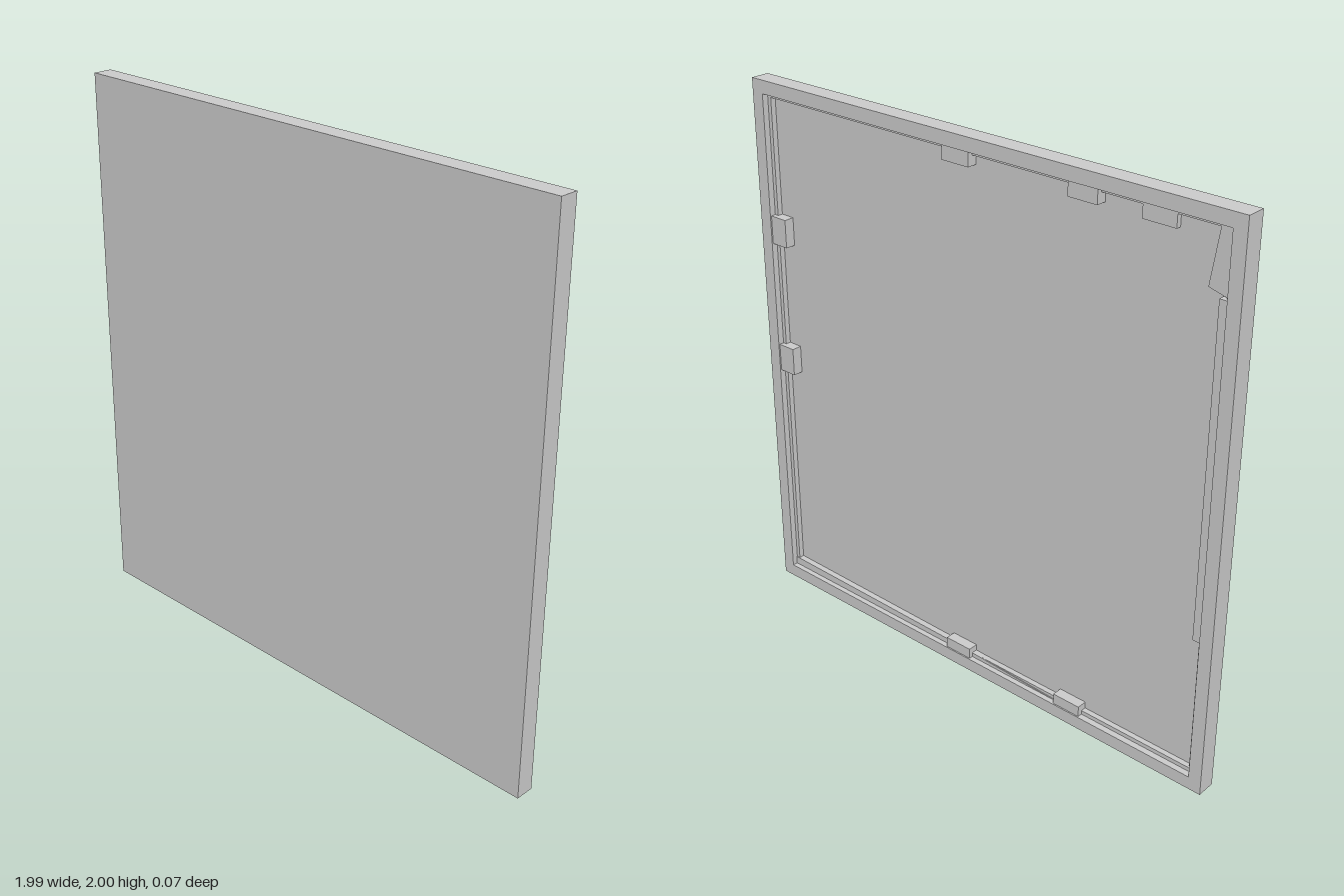
import * as THREE from 'three';

const W = 1.99, H = 2, BACK = -0.035, FLOOR = 0.008, FRONT = 0.035, RIM = 0.048;

export function createModel() {
  const group = new THREE.Group();
  const material = new THREE.MeshStandardMaterial({ color: 0xcccccc, flatShading: true });

  const add = (name, geometry) => {
    const mesh = new THREE.Mesh(geometry, material);
    mesh.name = name;
    group.add(mesh);
    return mesh;
  };
  const box = (name, x0, x1, y0, y1, z0, z1) => {
    const g = new THREE.BoxGeometry(x1 - x0, y1 - y0, z1 - z0);
    return add(name, g.translate((x0 + x1) / 2, (y0 + y1) / 2, (z0 + z1) / 2));
  };
  const polygon = (points) => new THREE.Shape(points.map(([x, y]) => new THREE.Vector2(x, y)));
  const rect = (inset) => polygon([
    [-W / 2 + inset, inset], [W / 2 - inset, inset],
    [W / 2 - inset, H - inset], [-W / 2 + inset, H - inset],
  ]);
  const slab = (name, shape, z0, z1) => {
    const g = new THREE.ExtrudeGeometry(shape, { depth: z1 - z0, bevelEnabled: false });
    return add(name, g.translate(0, 0, z0));
  };

  // flat front sheet, whose rear side is the floor of the recess
  box('frontPanel', -W / 2, W / 2, 0, H, FLOOR, FRONT);

  // raised border around the back
  const border = rect(0);
  border.holes.push(rect(RIM));
  slab('backRim', border, BACK, FLOOR);

  // low inner step running around the recess
  const step = rect(RIM);
  step.holes.push(rect(RIM + 0.015));
  slab('innerStep', step, -0.012, FLOOR);

  // clips along the top, bottom and left borders
  const x = W / 2 - RIM;
  for (const cx of [0.07, -0.43]) {
    box('topClip', cx - 0.055, cx + 0.055, H - RIM - 0.05, H - RIM, -0.03, FLOOR);
    box('bottomClip', cx - 0.055, cx + 0.055, RIM, RIM + 0.04, -0.03, FLOOR);
  }
  for (const cy of [1.46, 0.96]) box('leftClip', x - 0.07, x, cy - 0.052, cy + 0.052, -0.03, FLOOR);
  box('topCornerClip', -0.75, -0.63, H - RIM - 0.06, H - RIM, -0.01, FLOOR);

  // long ledge on the right border, and the corner gusset above it
  box('rightLedge', -x, -x + 0.035, 0.57, 1.73, -0.02, FLOOR);
  slab('cornerGusset', polygon([
    [-x, 1.73], [-x + 0.08, 1.75], [-x + 0.05, H - RIM], [-x, H - RIM],
  ]), -0.01, FLOOR);

  // tapering fillers along the bottom border
  slab('bottomFiller', polygon([
    [x, RIM], [x, RIM + 0.03], [0.1, RIM + 0.02], [-0.4, RIM],
  ]), -0.015, FLOOR);

  return group;
}
